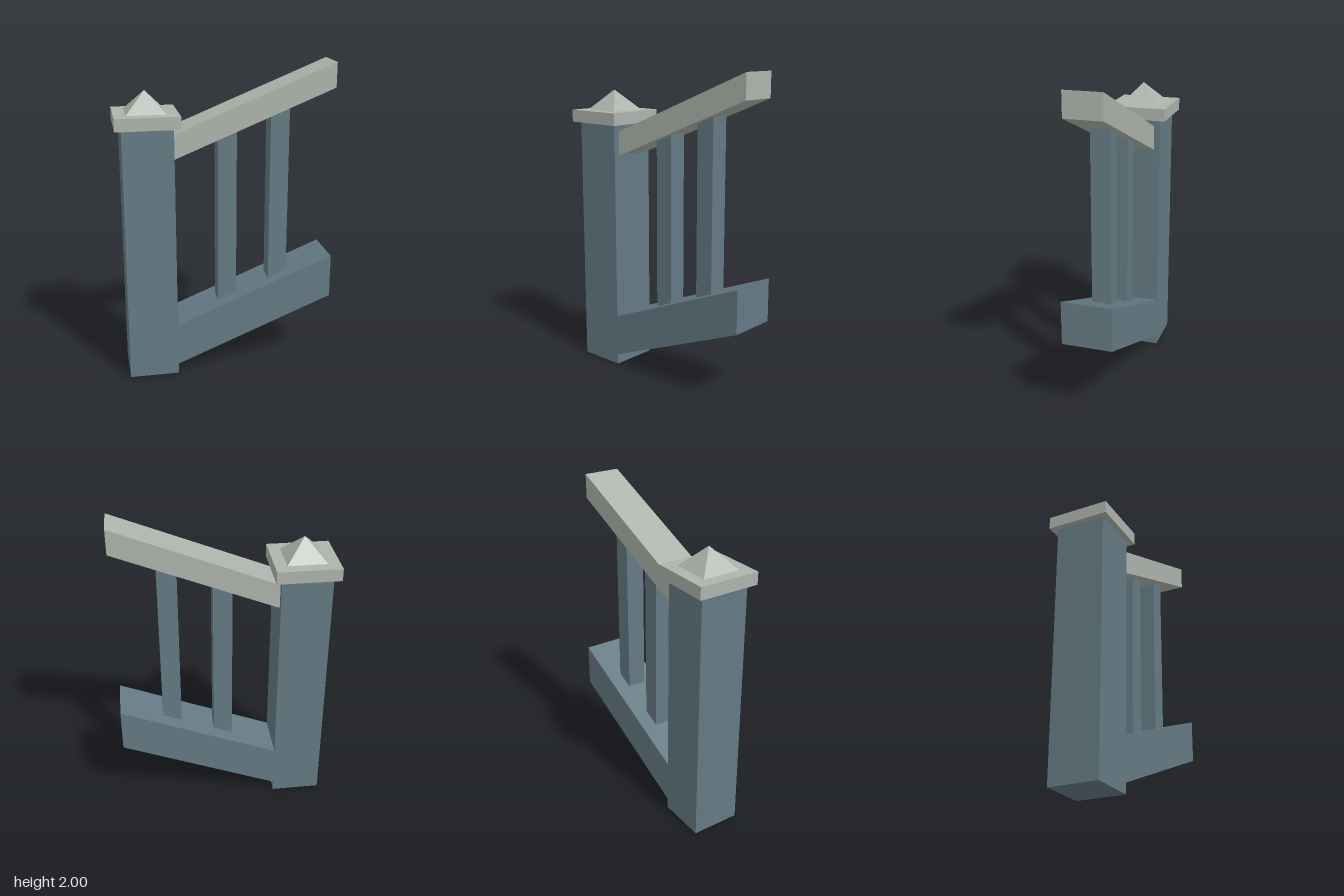
import * as THREE from 'three';

const X0 = -0.33, X1 = 0.68, SLOPE = 0.405;
const slopeAt = (y0, x) => y0 + (x - X0) * SLOPE;

export function createModel() {
  const group = new THREE.Group();
  const paint = new THREE.MeshStandardMaterial({ color: 0x647a84 });
  paint.name = 'slateBlue';
  const stone = new THREE.MeshStandardMaterial({ color: 0xadb4ac });
  stone.name = 'paleStone';

  function add(name, geometry, material, x = 0, y = 0, z = 0) {
    const mesh = new THREE.Mesh(geometry, material);
    mesh.name = name;
    mesh.position.set(x, y, z);
    group.add(mesh);
  }

  // Upright-sided bar whose bottom and top edges follow the stair slope
  function raked(name, xa, xb, bottom, top, depth, material) {
    const shape = new THREE.Shape([
      new THREE.Vector2(xa, slopeAt(bottom, xa)),
      new THREE.Vector2(xb, slopeAt(bottom, xb)),
      new THREE.Vector2(xb, slopeAt(top, xb)),
      new THREE.Vector2(xa, slopeAt(top, xa)),
    ]);
    const geometry = new THREE.ExtrudeGeometry(shape, { depth, bevelEnabled: false });
    add(name, geometry, material, 0, 0, -depth / 2);
  }

  // Newel post with a flat cap and pyramid finial
  const px = -0.487;
  add('newelPost', new THREE.BoxGeometry(0.315, 1.637, 0.315), paint, px, 0.8185);
  add('postCap', new THREE.BoxGeometry(0.394, 0.079, 0.394), stone, px, 1.6765);
  const finial = new THREE.ConeGeometry(0.123 * Math.SQRT2, 0.131, 4, 1, true, Math.PI / 4).toNonIndexed();
  finial.computeVertexNormals();
  add('finial', finial, stone, px, 1.7815);

  // Sloping base beam and handrail
  raked('stringer', X0, X1, 0.067, 0.345, 0.315, paint);
  raked('handrail', X0, X1, 1.435, 1.591, 0.236, stone);

  // Balusters between the beam and the rail
  for (const x of [0.011, 0.345]) {
    raked('baluster', x - 0.06, x + 0.06, 0.345, 1.435, 0.122, paint);
  }
  return group;
}
